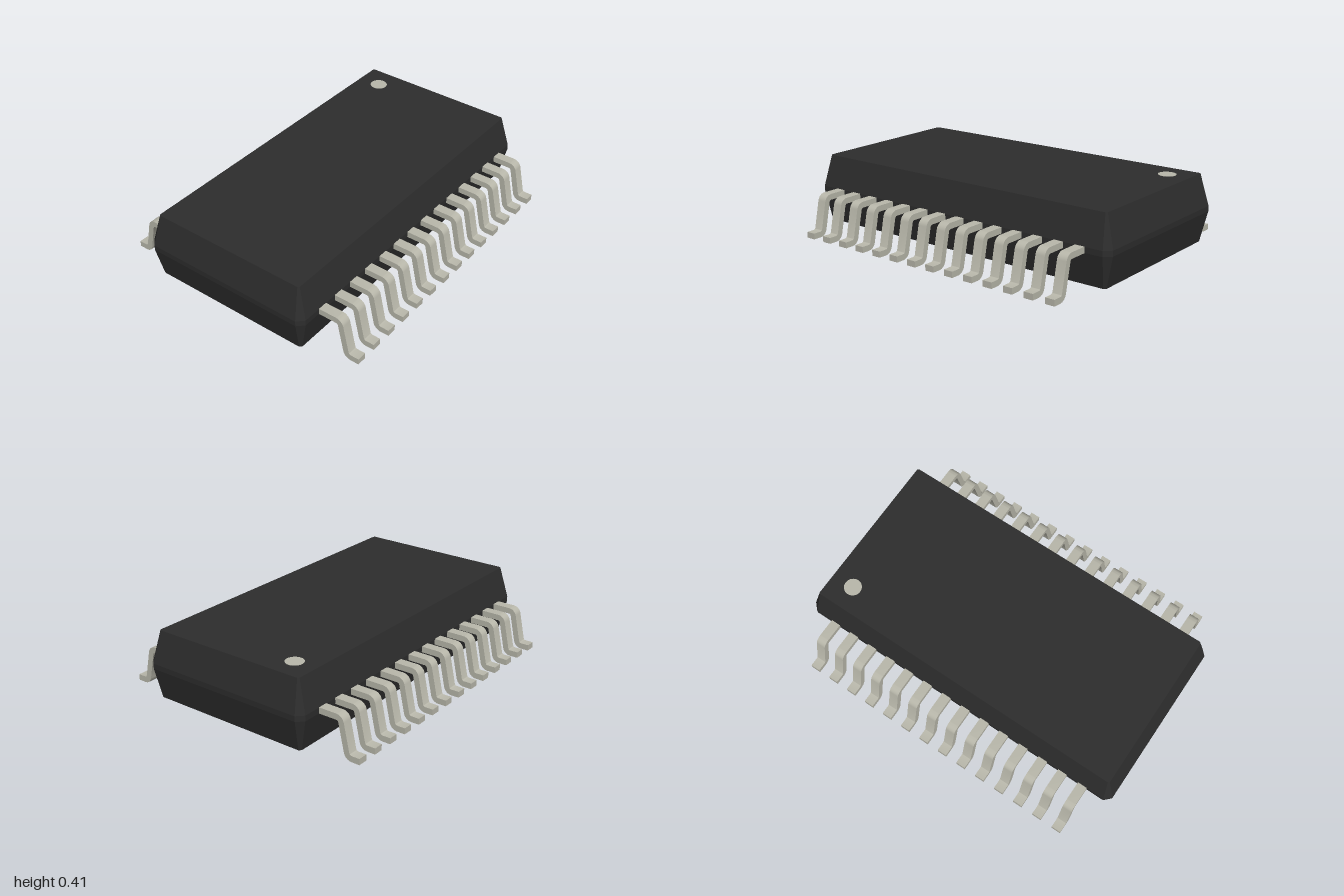
import * as THREE from 'three';
import { toCreasedNormals } from 'three/addons/utils/BufferGeometryUtils.js';

// Stack of chamfered rectangles, flat shaded; each section is [y, halfX, halfZ, chamfer]
function loftBody(sections) {
  const loops = sections.map(([y, a, b, c]) => [
    [a, b - c], [a, c - b], [a - c, -b], [c - a, -b],
    [-a, c - b], [-a, b - c], [c - a, b], [a - c, b],
  ].map(([x, z]) => [x, y, z]));
  const pos = [];
  const tri = (...corners) => corners.forEach((p) => pos.push(...p));
  for (let s = 0; s < loops.length - 1; s++) {
    const lo = loops[s], hi = loops[s + 1];
    for (let i = 0; i < 8; i++) {
      const j = (i + 1) % 8;
      tri(lo[i], lo[j], hi[j]);
      tri(lo[i], hi[j], hi[i]);
    }
  }
  const bottom = loops[0], top = loops[loops.length - 1];
  for (let i = 1; i < 7; i++) {
    tri(top[0], top[i], top[i + 1]);
    tri(bottom[0], bottom[i + 1], bottom[i]);
  }
  const geo = new THREE.BufferGeometry();
  geo.setAttribute('position', new THREE.Float32BufferAttribute(pos, 3));
  geo.computeVertexNormals();
  return geo;
}

// Gull-wing lead: a bent strip of constant thickness, extruded across its width
function leadGeometry(width, thickness) {
  const yTop = 0.218, yFoot = thickness / 2, xTop = 0.647, xFoot = 0.691;
  const radius = 0.03, steps = 8, half = thickness / 2;
  const turn = Math.atan2(yTop - yFoot, xFoot - xTop);
  const t = radius * Math.tan(turn / 2);
  const path = [[0.49, yTop, 0]]; // x, y, downward slope angle
  for (let i = 0; i <= steps; i++) {
    const a = turn * i / steps;
    path.push([xTop - t + radius * Math.sin(a), yTop - radius * (1 - Math.cos(a)), a]);
  }
  for (let i = steps; i >= 0; i--) {
    const a = turn * i / steps;
    path.push([xFoot + t - radius * Math.sin(a), yFoot + radius * (1 - Math.cos(a)), a]);
  }
  path.push([0.763, yFoot, 0]);
  const side = (d) => path.map(([x, y, a]) =>
    new THREE.Vector2(x + d * Math.sin(a), y + d * Math.cos(a)));
  const shape = new THREE.Shape([...side(-half), ...side(half).reverse()]);
  const geo = new THREE.ExtrudeGeometry(shape, { depth: width, bevelEnabled: false });
  geo.translate(0, 0, -width / 2);
  return toCreasedNormals(geo, 0.6);
}

export function createModel() {
  const model = new THREE.Group();
  model.name = 'chipPackage';
  const plastic = new THREE.MeshStandardMaterial({ color: 0x2d2d2d });
  plastic.name = 'black plastic';
  const metal = new THREE.MeshStandardMaterial({ color: 0xb9b8ab });
  metal.name = 'tinned metal';

  // Moulded body, widest at the parting band
  const body = new THREE.Mesh(loftBody([
    [0.025, 0.48, 0.96, 0.012],
    [0.203, 0.518, 1.0, 0.036],
    [0.234, 0.518, 1.0, 0.036],
    [0.413, 0.47, 0.952, 0.008],
  ]), plastic);
  body.name = 'body';
  model.add(body);

  // Pin one marker on the top face
  const marker = new THREE.Mesh(new THREE.CylinderGeometry(0.05, 0.05, 0.004, 32), metal);
  marker.name = 'pinOneMarker';
  marker.position.set(-0.335, 0.413, -0.818);
  model.add(marker);

  // Fourteen leads along each long side
  const lead = leadGeometry(0.056, 0.034);
  const count = 14, pitch = 0.1278;
  for (const side of ['left', 'right']) {
    const row = new THREE.Group();
    row.name = side + 'Leads';
    for (let i = 0; i < count; i++) {
      const mesh = new THREE.Mesh(lead, metal);
      mesh.name = side + 'Lead' + (i + 1);
      mesh.position.z = (i - (count - 1) / 2) * pitch;
      row.add(mesh);
    }
    if (side === 'right') row.rotation.y = Math.PI;
    model.add(row);
  }
  return model;
}
